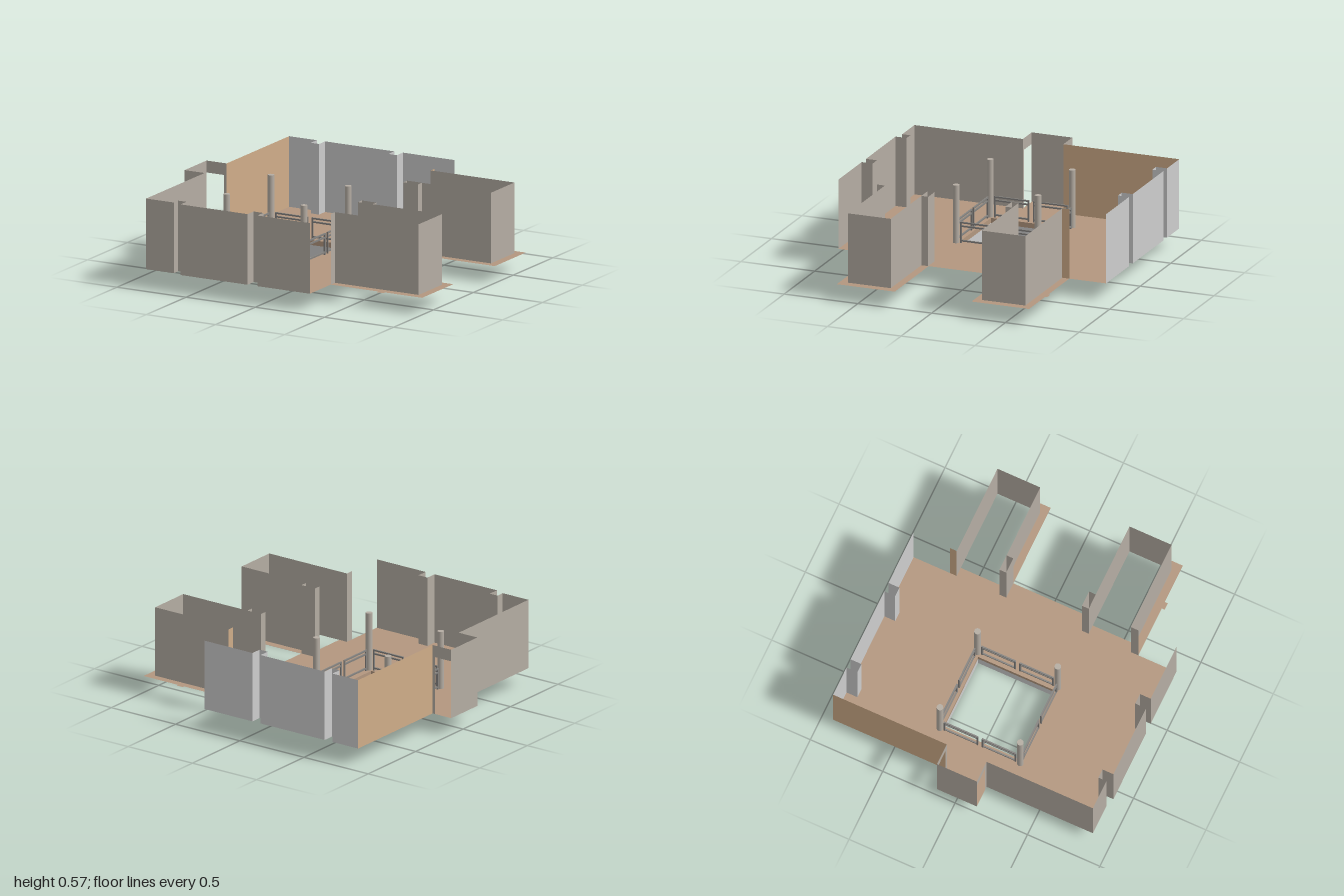
import * as THREE from 'three';

const FLOOR = 0.11, TOP = 0.567, DOOR = 0.49;

function mat(name, color) {
  const m = new THREE.MeshStandardMaterial({ color, side: THREE.DoubleSide });
  m.name = name;
  return m;
}

// Thin upright wall following a plan path of [x, z] points
function wall(name, path, material, y0 = FLOOR, y1 = TOP) {
  const pos = [];
  for (let i = 0; i < path.length - 1; i++) {
    const [ax, az] = path[i], [bx, bz] = path[i + 1];
    pos.push(ax, y0, az, bx, y0, bz, bx, y1, bz, ax, y0, az, bx, y1, bz, ax, y1, az);
  }
  const g = new THREE.BufferGeometry();
  g.setAttribute('position', new THREE.Float32BufferAttribute(pos, 3));
  g.computeVertexNormals();
  const mesh = new THREE.Mesh(g, material);
  mesh.name = name;
  return mesh;
}

const toPlan = (pts) => pts.map(([x, z]) => new THREE.Vector2(x, -z));
const rect = (x0, x1, z0, z1) => [[x0, z0], [x1, z0], [x1, z1], [x0, z1]];

export function createModel() {
  const model = new THREE.Group();
  model.name = 'floorPlan';
  const stone = mat('warm grey wall', 0xb5ada3);
  const pale = mat('pale grey', 0xcdcdcd);
  const tan = mat('tan wall', 0xd0ad89);
  const wood = mat('floor brown', 0xb3977f);
  const steel = mat('railing grey', 0x858380);

  // Plan paths of the front and back walls, with their notches
  const front = [[-0.855, 0.15], [-0.855, 0.885], [-0.655, 0.885], [-0.655, 0.83], [-0.595, 0.83],
    [-0.595, 0.905], [-0.11, 0.905], [-0.11, 0.83], [-0.04, 0.83], [-0.04, 0.905], [0.34, 0.905]];
  const back = [[0.34, -0.91], [-0.033, -0.91], [-0.033, -0.835], [-0.095, -0.835], [-0.095, -0.91],
    [-0.595, -0.91], [-0.595, -0.835], [-0.655, -0.835], [-0.655, -0.91], [-0.855, -0.91]];

  // Floor sheet with the central opening and two bay openings
  const outline = [...front,
    [0.34, 0.643], [0.685, 0.643], [0.685, 0.663], [0.733, 0.663], [0.733, 0.643], [1, 0.643],
    [1, 0.25], [0.445, 0.25], [0.445, -0.27], [1, -0.27], [1, -0.66],
    [0.733, -0.66], [0.733, -0.674], [0.685, -0.674], [0.685, -0.66], [0.34, -0.66],
    ...back, [-0.855, -0.125], [-1, -0.125], [-1, 0.15]];
  const shape = new THREE.Shape(toPlan(outline));
  const well = rect(-0.6, -0.093, -0.263, 0.26);
  for (const h of [well, rect(0.4, 0.945, 0.3, 0.59), rect(0.4, 0.945, -0.612, -0.317)]) {
    shape.holes.push(new THREE.Path(toPlan(h)));
  }
  const floor = new THREE.Mesh(new THREE.ShapeGeometry(shape).rotateX(-Math.PI / 2), wood);
  floor.position.y = FLOOR;
  floor.name = 'floor';
  model.add(floor);

  // Lining of the central opening
  const ring = [...well, well[0]];
  model.add(wall('openingSkirt', ring, pale, 0, 0.077));
  model.add(wall('openingBand', ring, wood, 0.077, FLOOR));

  // Main walls
  model.add(wall('frontWall', front, stone));
  model.add(wall('backWall', back, pale));
  model.add(wall('sideWall', [[-0.855, -0.91], [-0.855, -0.125]], tan));

  // Entrance recess: closed end, two open doorways with lintels and jambs
  const recess = new THREE.Group();
  recess.name = 'entranceRecess';
  recess.add(wall('recessEnd', [[-1, -0.125], [-1, 0.15]], stone));
  for (const z of [-0.125, 0.15]) {
    recess.add(wall('lintel', [[-1, z], [-0.855, z]], stone, DOOR, TOP));
    recess.add(wall('jamb', [[-0.875, z], [-0.855, z]], stone, FLOOR, DOOR));
  }
  model.add(recess);

  // Two projecting bays
  const bay = (outer, inner, lip) => [[0.34, outer], [0.945, outer], [0.945, inner], [0.34, inner],
    [0.34, lip], [0.445, lip], [0.445, inner]];
  model.add(wall('frontBay', bay(0.59, 0.3, 0.253), stone));
  model.add(wall('backBay', bay(-0.612, -0.317, -0.27), stone));
  model.add(wall('frontBayReturn', [[0.34, 0.59], [0.34, 0.643]], stone));
  model.add(wall('backBayReturn', [[0.34, -0.612], [0.34, -0.66]], tan));

  // Round columns at the corners of the opening
  const X0 = -0.623, X1 = -0.065, Z0 = -0.28, Z1 = 0.275;
  const columnGeo = new THREE.CylinderGeometry(0.021, 0.021, DOOR - FLOOR, 20);
  for (const x of [X0, X1]) for (const z of [Z0, Z1]) {
    const c = new THREE.Mesh(columnGeo, stone);
    c.position.set(x, (DOOR + FLOOR) / 2, z);
    c.name = 'column';
    model.add(c);
  }

  // Railings: two framed panels on each side of the opening
  const T = 0.01;
  function railing(cx, cz, turn) {
    const g = new THREE.Group();
    g.name = 'railing';
    const bar = (name, w, h, x, y) => {
      const m = new THREE.Mesh(new THREE.BoxGeometry(w, h, T), steel);
      m.position.set(x, y, 0);
      m.name = name;
      g.add(m);
    };
    for (const s of [-1, 1]) {
      for (const y of [0.245, 0.222, 0.126]) bar('rail', 0.235, T, s * 0.1325, y);
      for (const x of [0.018, 0.245]) bar('railPost', T, 0.14, s * x, FLOOR + 0.07);
    }
    g.position.set(cx, 0, cz);
    g.rotation.y = turn;
    model.add(g);
  }
  const mx = (X0 + X1) / 2, mz = (Z0 + Z1) / 2;
  for (const z of [Z0 - 0.005, Z1 + 0.005]) railing(mx, z, 0);
  for (const x of [X0, X1]) railing(x, mz, Math.PI / 2);

  return model;
}
